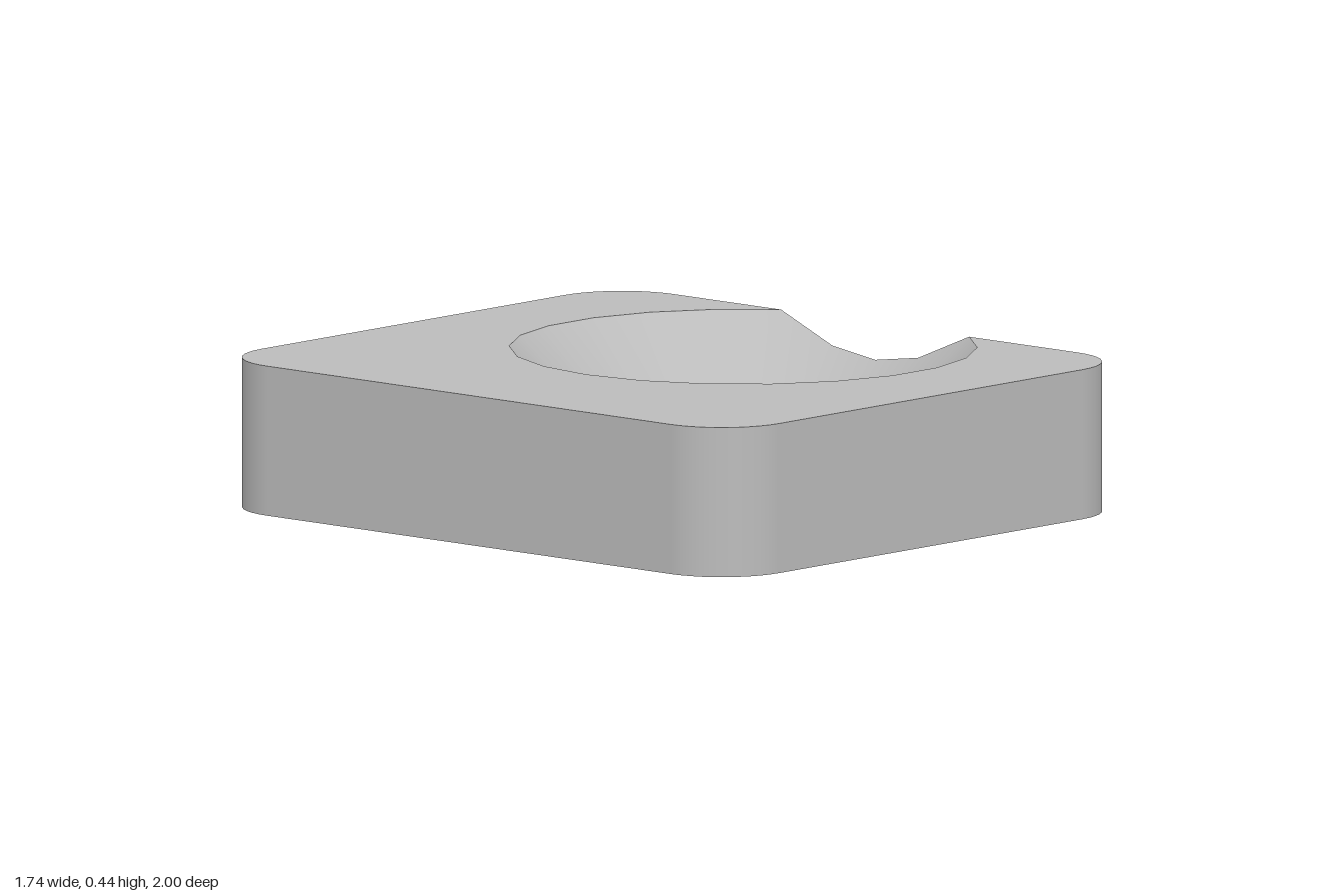
import * as THREE from 'three';

const H = 0.435, HALF_Z = 1, CORNER = 0.22;
const CX = 0.305, R_SINK = 0.672, N_SINK = 22, R_BORE = 0.368, N_BORE = 21;
const STEP = (2 * Math.PI) / N_SINK;
// the side wall passes through the second vertex of the countersink rim
const HALF_X = CX + R_SINK * Math.cos(2 * STEP);

// radius of a regular polygon (vertex at angle 0) in direction a
function polyRadius(r, n, a) {
  const s = (2 * Math.PI) / n;
  return (r * Math.cos(s / 2)) / Math.cos(a - s * (Math.floor(a / s) + 0.5));
}

// point around the hole axis; positive angles go towards -z
const around = (r, a, y) => new THREE.Vector3(CX + r * Math.cos(a), y, -r * Math.sin(a));

// 45 degree countersink height at radius r
const sinkY = (r, a) => Math.min(H, H - R_SINK + (R_SINK * r) / polyRadius(R_SINK, N_SINK, a));

// wall between two rows of points with given smooth normals
function strip(lower, upper, normals) {
  const pos = [], nor = [], index = [];
  lower.forEach((p, i) => {
    pos.push(...p.toArray(), ...upper[i].toArray());
    nor.push(...normals[i].toArray(), ...normals[i].toArray());
    if (i < lower.length - 1) {
      const a = 2 * i;
      index.push(a, a + 2, a + 3, a, a + 3, a + 1);
    }
  });
  const g = new THREE.BufferGeometry();
  g.setAttribute('position', new THREE.Float32BufferAttribute(pos, 3));
  g.setAttribute('normal', new THREE.Float32BufferAttribute(nor, 3));
  g.setIndex(index);
  return g;
}

export function createModel() {
  const group = new THREE.Group();
  const grey = new THREE.MeshStandardMaterial({ color: 0xbcbcbc });
  grey.name = 'grey';
  const add = (name, geometry) => {
    const mesh = new THREE.Mesh(geometry, grey);
    mesh.name = name;
    group.add(mesh);
  };

  // all directions at which the countersink or the bore has an edge
  const angles = [];
  for (let k = -11; k <= 11; k++) angles.push(k * STEP);
  for (let k = -10; k <= 10; k++) if (k) angles.push((k * 2 * Math.PI) / N_BORE);
  angles.sort((a, b) => a - b);

  const rimPoint = (a) => {
    let r = polyRadius(R_SINK, N_SINK, a);
    if (Math.cos(a) > 0) r = Math.min(r, (HALF_X - CX) / Math.cos(a));
    return around(r, a, sinkY(r, a));
  };

  // rounded corners, counter-clockwise seen from above
  const corners = [], cornerNormals = [];
  [[1, 1], [-1, 1], [-1, -1], [1, -1]].forEach(([sx, sv], q) => {
    for (let i = 0; i <= 10; i++) {
      const t = ((q + i / 10) * Math.PI) / 2;
      const n = new THREE.Vector3(Math.cos(t), 0, -Math.sin(t));
      corners.push(new THREE.Vector3(sx * (HALF_X - CORNER), H, -sv * (HALF_Z - CORNER)).addScaledVector(n, CORNER));
      cornerNormals.push(n);
    }
  });

  // outer wall, dipping where the countersink breaks through
  const notch = angles.filter((a) => Math.abs(a) < 2 * STEP + 1e-6).map(rimPoint);
  const top = [...notch, ...corners, notch[0]];
  const side = new THREE.Vector3(1, 0, 0);
  const wallNormals = [...notch.map(() => side), ...cornerNormals, side];
  add('outerWall', strip(top.map((p) => new THREE.Vector3(p.x, 0, p.z)), top, wallNormals));

  // countersink and bore
  const inward = [...angles].reverse();
  const rim = inward.map(rimPoint);
  const throat = inward.map((a) => {
    const r = polyRadius(R_BORE, N_BORE, a);
    return around(r, a, sinkY(r, a));
  });
  const floor = throat.map((p) => new THREE.Vector3(p.x, 0, p.z));
  const boreNormals = inward.map((a) => new THREE.Vector3(-Math.cos(a), 0, Math.sin(a)));
  const sinkNormals = boreNormals.map((n) => n.clone().setY(1).normalize());
  add('countersink', strip(throat, rim, sinkNormals));
  add('bore', strip(floor, throat, boreNormals));

  // top face, open towards the notch
  const flat = (p) => new THREE.Vector2(p.x, -p.z);
  const outline = corners.map(flat);
  for (let k = -2; k >= -20; k--) outline.push(flat(around(R_SINK, k * STEP, H)));
  add('topFace', new THREE.ShapeGeometry(new THREE.Shape(outline)).rotateX(-Math.PI / 2).translate(0, H, 0));

  // bottom face with round hole
  const base = new THREE.Shape(corners.map(flat));
  const hole = [];
  for (let k = 0; k < N_BORE; k++) hole.push(flat(around(R_BORE, (-k * 2 * Math.PI) / N_BORE, 0)));
  base.holes.push(new THREE.Path(hole));
  add('bottomFace', new THREE.ShapeGeometry(base).rotateX(Math.PI / 2));

  return group;
}
